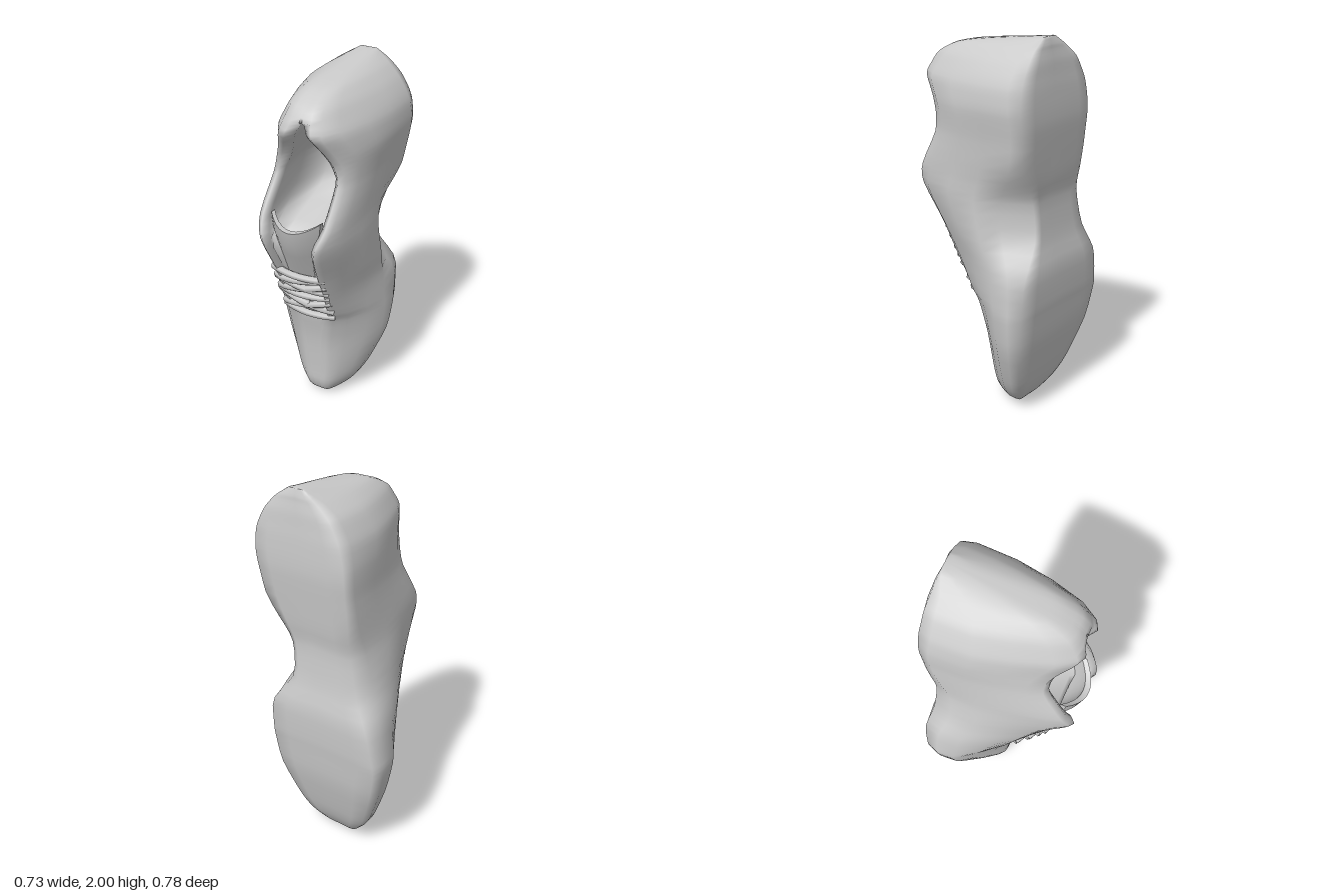
import * as THREE from 'three';

const { lerp, clamp, smoothstep } = THREE.MathUtils;
const material = new THREE.MeshStandardMaterial({ color: 0xcccccc, side: THREE.DoubleSide });

// Toe-to-heel stations: y, side x min, side x max, sole z, ridge z, ridge half-width, cavity depth
const stations = [
  [0.00, -0.04, 0.04, -0.16, -0.10, 0.02, 0],
  [0.03, -0.10, 0.10, -0.19, -0.03, 0.05, 0],
  [0.10, -0.17, 0.165, -0.235, 0.00, 0.07, 0],
  [0.20, -0.235, 0.22, -0.275, 0.01, 0.085, 0],
  [0.42, -0.325, 0.30, -0.335, 0.035, 0.10, 0],
  [0.60, -0.365, 0.325, -0.36, 0.075, 0.12, 0],
  [0.68, -0.36, 0.325, -0.37, 0.115, 0.14, 0.03],
  [0.85, -0.33, 0.32, -0.378, 0.20, 0.15, 0.04],
  [1.00, -0.28, 0.33, -0.352, 0.28, 0.15, 0.05],
  [1.20, -0.235, 0.325, -0.342, 0.385, 0.17, 0.12],
  [1.32, -0.22, 0.32, -0.36, 0.345, 0.20, 0.45],
  [1.50, -0.21, 0.335, -0.38, 0.24, 0.195, 0.42],
  [1.60, -0.21, 0.35, -0.39, 0.24, 0.18, 0.42],
  [1.68, -0.205, 0.36, -0.392, 0.285, 0.15, 0.45],
  [1.77, -0.185, 0.35, -0.39, 0.35, 0.115, 0.30],
  [1.83, -0.155, 0.325, -0.385, 0.325, 0.10, 0],
  [1.89, -0.115, 0.285, -0.38, 0.28, 0.085, 0],
  [1.94, -0.05, 0.235, -0.37, 0.17, 0.07, 0],
  [1.965, -0.01, 0.20, -0.365, 0.02, 0.05, 0],
  [2.00, 0.05, 0.14, -0.35, -0.31, 0.01, 0],
];

const ridgeX = (y) => 0.1 * clamp((y - 0.4) / 1.4, 0, 1);

// Smooth interpolation of the station values
function stationAt(t) {
  const i = Math.min(Math.floor(t), stations.length - 2);
  const f = t - i;
  const get = (k) => stations[clamp(k, 0, stations.length - 1)];
  const [a, b, c, d] = [get(i - 1), get(i), get(i + 1), get(i + 2)];
  return b.map((p, k) => {
    const m0 = (c[k] - a[k]) * 0.4;
    const m1 = (d[k] - p) * 0.4;
    const g = f * f, h = g * f;
    return (2 * h - 3 * g + 1) * p + (h - 2 * g + f) * m0 + (3 * g - 2 * h) * c[k] + (h - g) * m1;
  });
}

// Half cross-section from the sole middle, up the side, over the lip and into the cavity
function halfSection(s, side) {
  const [y, xl, xr, zb, zf, hw, rawDepth] = s;
  const depth = Math.max(0, rawDepth);
  const edge = side > 0 ? xr : xl;
  const mid = (xl + xr) / 2;
  const cx = ridgeX(y);
  // The arch cuts deep under the inner side and only slightly under the outer side
  const waist = smoothstep(y, 0.8, 1.05) * (1 - smoothstep(y, 1.15, 1.48));
  const arch = waist * (side > 0 ? 1 : 0.2);
  // Fuller, more upright walls on the inner side around the ankle
  const full = side > 0 ? smoothstep(y, 0.8, 1.3) * (1 - 0.7 * smoothstep(y, 1.6, 1.85)) : 0;
  const H = zf - zb;
  // The opening tapers to a point below the heel collar
  const inner = Math.min(Math.max(hw - 0.055, hw * 0.25), Math.max(0.006, 0.46 * (1.835 - y)));
  const sole = (w) => lerp(mid, edge, w);
  const wall = (t) => lerp(edge, cx + side * hw, t);
  const heel = smoothstep(y, 0.9, 1.4);
  return [
    [mid, zb + 0.02 * H],
    [sole(0.62 - 0.3 * arch), zb + 0.005 * H],
    [sole(0.93 - 0.5 * arch), zb + 0.025 * H],
    [sole(1 - 0.3 * arch), zb + (lerp(0.17, 0.11, heel) + 0.1 * arch) * H],
    [sole(0.98), zb + 0.38 * H],
    [wall(lerp(0.32, 0.12, full)), zb + 0.62 * H],
    [wall(lerp(0.68, 0.45, full)), zb + 0.85 * H],
    [wall(1), zb + 0.97 * H],
    [cx + side * lerp(hw, inner, 0.5), zf],
    [cx + side * inner, zf - Math.min(0.03, depth)],
    [cx + side * inner * 1.1, zf - 0.55 * depth],
    [cx + side * inner * 0.7, zf - depth],
    [cx, zf - depth],
  ];
}

// Sole, upper, collar and foot cavity as one lofted skin
function makeBody() {
  const pos = [], index = [];
  const steps = 3, rings = (stations.length - 1) * steps + 1;
  let n = 0;
  for (let i = 0; i < rings; i++) {
    const s = stationAt(i / steps);
    const right = halfSection(s, 1);
    const left = halfSection(s, -1).slice(1, -1).reverse();
    const loop = [...right, ...left];
    n = loop.length;
    loop.forEach(([x, z]) => pos.push(x, s[0], z));
  }
  for (let i = 0; i < rings - 1; i++) {
    for (let j = 0; j < n; j++) {
      const k = (j + 1) % n;
      const a = i * n + j, b = i * n + k, c = b + n, d = a + n;
      index.push(a, d, b, b, d, c);
    }
  }
  // End caps at the toe and heel tips
  for (let j = 1; j < n - 1; j++) {
    const e = (rings - 1) * n;
    index.push(0, j, j + 1, e, e + j + 1, e + j);
  }
  const geo = new THREE.BufferGeometry();
  geo.setAttribute('position', new THREE.Float32BufferAttribute(pos, 3));
  geo.setIndex(index);
  geo.computeVertexNormals();
  return geo;
}

// Curved padded tongue, edges curling back and up
function makeTongue() {
  const geo = new THREE.BoxGeometry(2, 1, 1, 10, 8, 1);
  const p = geo.attributes.position;
  for (let i = 0; i < p.count; i++) {
    const u = p.getX(i), v = p.getY(i) + 0.5, w = p.getZ(i);
    const y = lerp(0.62, 1.29, v) + 0.05 * u * u * v;
    const z = lerp(0.07, 0.4, Math.min(1, v * 1.06)) - 0.07 * u * u * v + w * 0.03;
    p.setXYZ(i, ridgeX(y) + u * lerp(0.09, 0.135, v), y, z - 0.02);
  }
  geo.computeVertexNormals();
  return geo;
}

// Lace strand arching across the throat from one side to the other
function makeLace(yl, yr) {
  const pts = [-1, -0.6, 0, 0.6, 1].map((u) => {
    const y = lerp(yl, yr, (u + 1) / 2);
    const z = 0.115 + (y - 0.65) * 0.48;
    return new THREE.Vector3(ridgeX(y) - 0.01 + u * 0.15, y, z - 0.035 * u * u);
  });
  return new THREE.TubeGeometry(new THREE.CatmullRomCurve3(pts), 12, 0.02, 6, false);
}

export function createModel() {
  const group = new THREE.Group();
  const add = (name, geo) => {
    const mesh = new THREE.Mesh(geo, material);
    mesh.name = name;
    group.add(mesh);
  };
  add('shoeBody', makeBody());
  add('tongue', makeTongue());
  const laces = [[0.66, 0.65], [0.68, 0.78], [0.8, 0.7], [0.81, 0.82], [0.82, 0.92], [0.92, 0.86], [0.9, 0.97], [0.98, 0.97]];
  laces.forEach(([l, r], i) => add('lace' + (i + 1), makeLace(l, r)));
  return group;
}
